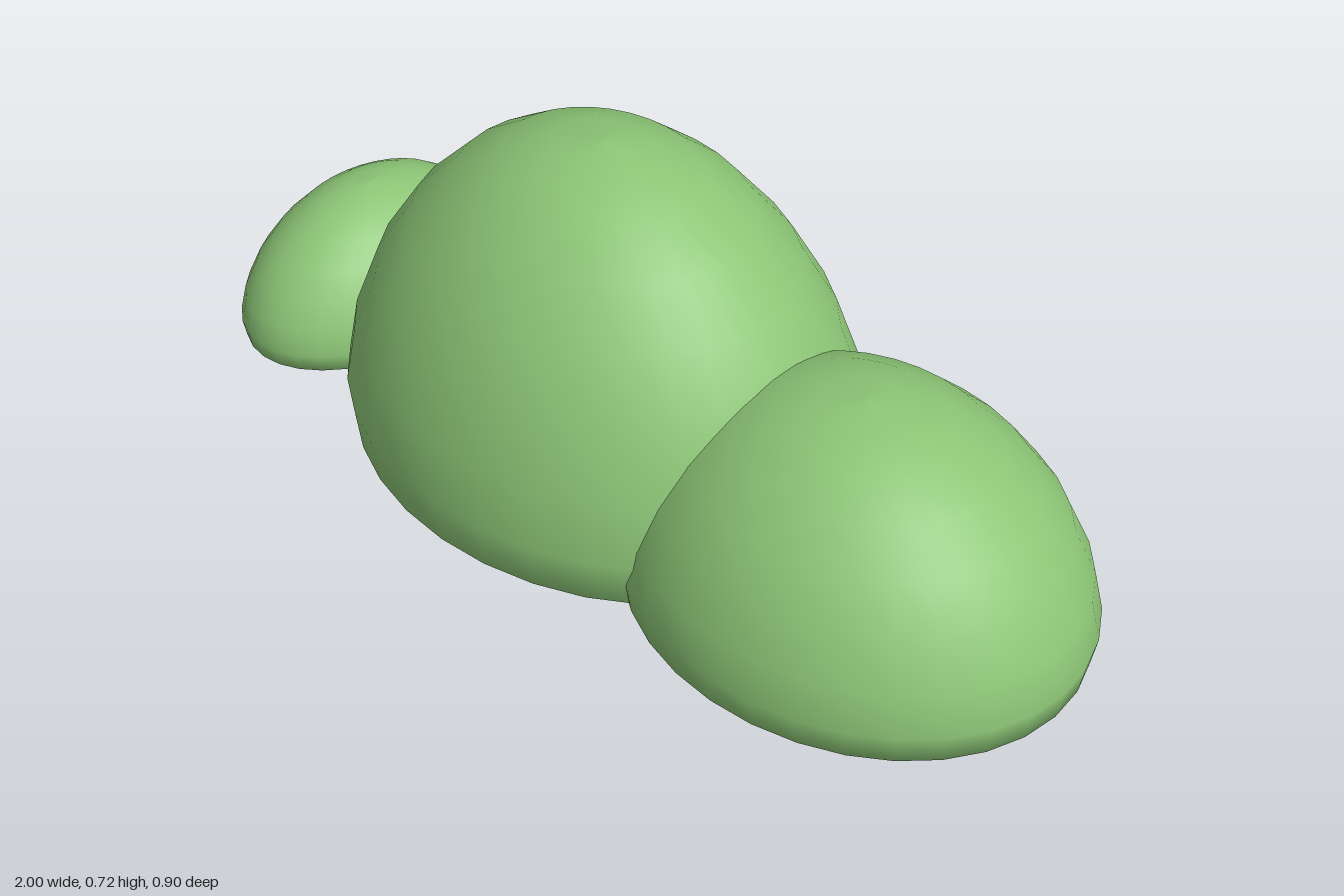
import * as THREE from 'three';

// Half profile of a flat-bottomed mound: [radius, height], both normalised to 1
const PROFILE = [
  [0, 0], [0.4, 0], [0.73, 0.001], [0.87, 0.007], [0.978, 0.061], [1, 0.189], [0.956, 0.361], [0.858, 0.548],
  [0.722, 0.706], [0.553, 0.838], [0.371, 0.932], [0.187, 0.983], [0, 1],
].map(([r, y]) => new THREE.Vector2(r, y));

export function createModel() {
  const group = new THREE.Group();
  group.name = 'bush';
  const leafGreen = new THREE.MeshStandardMaterial({ color: 0x8cc576 });
  leafGreen.name = 'leaf green';
  const geometry = new THREE.LatheGeometry(PROFILE, 32);

  // Each mound is the same rounded form, stretched to its own size
  function addMound(name, x, base, rx, height, rz) {
    const mound = new THREE.Mesh(geometry, leafGreen);
    mound.name = name;
    mound.position.set(x, base, 0);
    mound.scale.set(rx, height, rz);
    group.add(mound);
  }

  addMound('middleMound', -0.11, 0.003, 0.56, 0.725, 0.449);
  addMound('leftMound', 0.525, 0.003, 0.47, 0.479, 0.396);
  addMound('rightMound', -0.78, 0.022, 0.22, 0.298, 0.318);
  return group;
}
